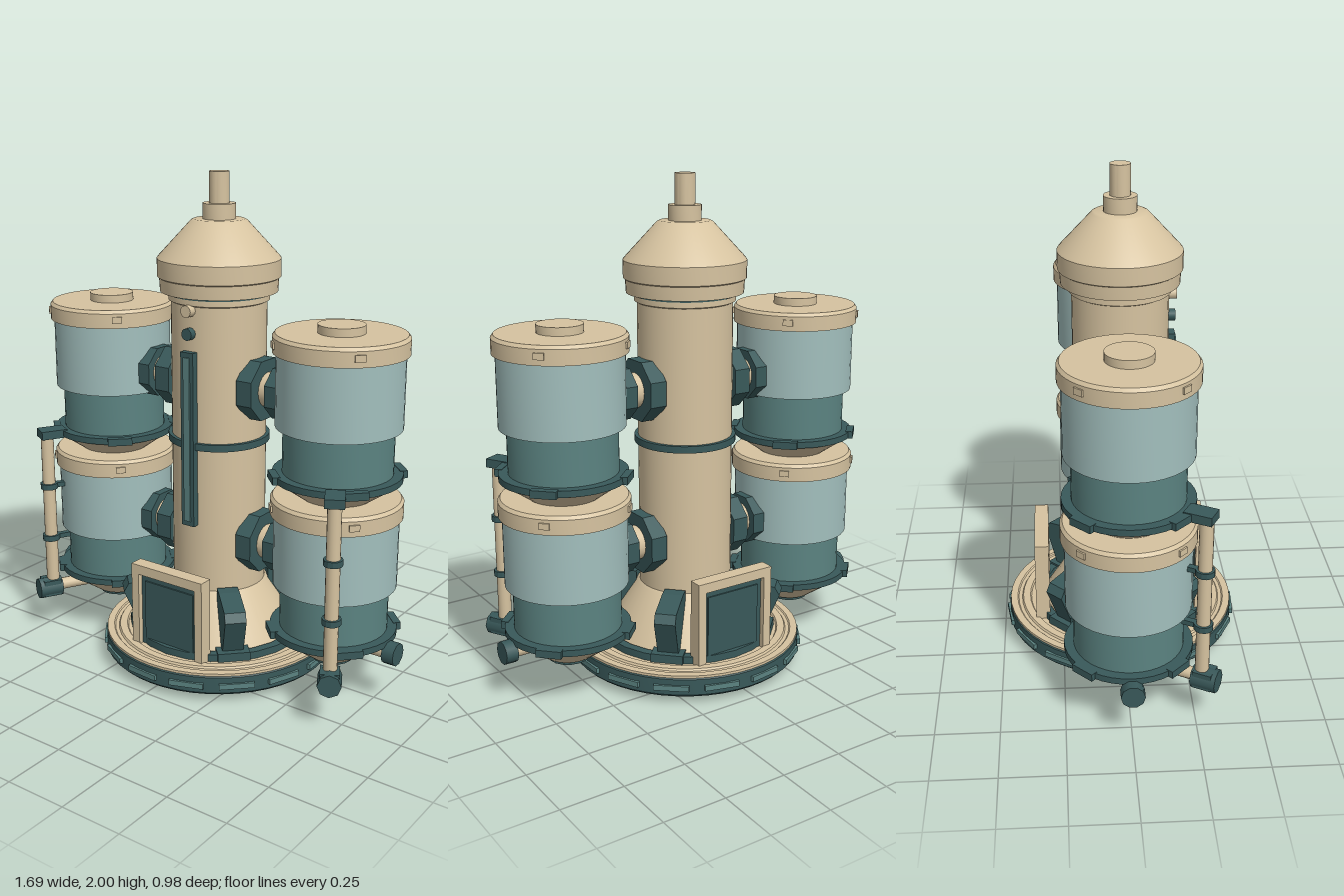
import * as THREE from 'three';
import { toCreasedNormals } from 'three/addons/utils/BufferGeometryUtils.js';

const mat = (name, color) => {
  const m = new THREE.MeshStandardMaterial({ color });
  m.name = name;
  return m;
};

export function createModel() {
  const beige = mat('beige', 0xd6c3a0);
  const dark = mat('darkTeal', 0x39595a);
  const mid = mat('midTeal', 0x5b8381);
  const light = mat('lightTeal', 0xa2bfbd);
  const root = new THREE.Group();
  root.name = 'tankTower';

  const add = (parent, name, geo, material, x = 0, y = 0, z = 0) => {
    const m = new THREE.Mesh(geo, material);
    m.name = name;
    m.position.set(x, y, z);
    parent.add(m);
    return m;
  };
  // Solid of revolution from [radius, height] pairs, bottom to top
  const lathe = (pts, seg = 40) => toCreasedNormals(
    new THREE.LatheGeometry(pts.map(p => new THREE.Vector2(p[0], p[1])), seg), 0.5);
  const drum = (r, y0, y1, seg = 40) => lathe([[0, y0], [r, y0], [r, y1], [0, y1]], seg);
  const box = (w, h, d) => new THREE.BoxGeometry(w, h, d);
  // Places a mesh on a circle, facing outward; angle 0 is the front
  const around = (parent, name, geo, material, a, r, y) => {
    const m = add(parent, name, geo, material, Math.sin(a) * r, y, Math.cos(a) * r);
    m.rotation.y = a;
    return m;
  };

  // Base disc with stepped rings on top
  const base = new THREE.Group();
  base.name = 'base';
  root.add(base);
  add(base, 'baseDisc', lathe([[0, 0.028], [0.465, 0.028], [0.477, 0.04], [0.477, 0.105], [0.47, 0.112], [0, 0.112]], 48), dark);
  add(base, 'baseDeck', lathe([[0.474, 0.11], [0.474, 0.12], [0.445, 0.12], [0.44, 0.115], [0.425, 0.115],
    [0.42, 0.123], [0.39, 0.123], [0.385, 0.115], [0.3, 0.115]], 48), beige);
  add(base, 'darkRing', lathe([[0.365, 0.11], [0.365, 0.145], [0.33, 0.145], [0.33, 0.11]], 24), dark);
  for (let i = 0; i < 15; i++) {
    around(base, 'rimStud', box(0.14, 0.022, 0.02), mid, (i * 24 - 4) * Math.PI / 180, 0.474, 0.07);
  }
  // Feet and buttresses on the diagonals
  const buttress = new THREE.Shape([[0.2, 0.12], [0.33, 0.12], [0.405, 0.3], [0.385, 0.335], [0.25, 0.36], [0.2, 0.36]]
    .map(p => new THREE.Vector2(p[0], p[1])));
  const buttressGeo = new THREE.ExtrudeGeometry(buttress, { depth: 0.085, bevelEnabled: false });
  buttressGeo.translate(0, 0, -0.0425).rotateY(-Math.PI / 2);
  for (let i = 0; i < 4; i++) {
    const a = Math.PI / 4 + i * Math.PI / 2;
    around(base, 'foot', box(0.08, 0.03, 0.06), dark, a, 0.3, 0.015);
    around(base, 'buttress', buttressGeo, dark, a, 0, 0);
    around(base, 'buttressFoot', box(0.13, 0.035, 0.12), dark, a, 0.31, 0.135);
  }

  // Framed panels, front and back
  const frame = new THREE.Shape([[-0.175, 0.115], [-0.14, 0.115], [-0.14, 0.425], [0.14, 0.425], [0.14, 0.115],
    [0.175, 0.115], [0.175, 0.465], [-0.175, 0.465]].map(p => new THREE.Vector2(p[0], p[1])));
  const frameGeo = new THREE.ExtrudeGeometry(frame, { depth: 0.058, bevelEnabled: false });
  for (const a of [0, Math.PI]) {
    around(root, 'panelFrame', frameGeo, beige, a, 0.304, 0);
    around(root, 'panelInset', box(0.28, 0.31, 0.03), dark, a, 0.325, 0.27);
    around(root, 'panelPlate', box(0.24, 0.25, 0.008), dark, a, 0.342, 0.27);
  }

  // Central tower
  const tower = new THREE.Group();
  tower.name = 'tower';
  root.add(tower);
  add(tower, 'column', lathe([[0.32, 0.112], [0.32, 0.14], [0.2, 0.33], [0.19, 0.34], [0.19, 1.505],
    [0.2, 1.51], [0.2, 1.535], [0.19, 1.55]]), beige);
  add(tower, 'columnBand', drum(0.205, 0.938, 0.966), dark);
  add(tower, 'neckBand', drum(0.203, 1.532, 1.538), dark);
  add(tower, 'head', lathe([[0, 1.542], [0.232, 1.542], [0.235, 1.595], [0.243, 1.6], [0.243, 1.67], [0.235, 1.68],
    [0.11, 1.815], [0.1, 1.82], [0, 1.82]], 48), beige);
  add(tower, 'collar', drum(0.065, 1.81, 1.88, 24), beige);
  add(tower, 'rod', drum(0.04, 1.87, 2, 24), beige);
  add(tower, 'gaugeStrip', box(0.06, 0.71, 0.05), dark, 0, 0.975, 0.19);
  add(tower, 'gaugeGlass', box(0.03, 0.67, 0.008), mid, 0, 0.975, 0.216);
  const port = new THREE.CylinderGeometry(0.024, 0.024, 0.04, 12).rotateX(Math.PI / 2);
  add(tower, 'upperPort', port, beige, 0, 1.49, 0.2);
  add(tower, 'lowerPort', port, dark, 0, 1.4, 0.195);

  // Octagonal coupling flange lying along x
  const octagon = (r, w) => {
    const g = new THREE.CylinderGeometry(1, 1, 1, 8).toNonIndexed();
    g.rotateY(Math.PI / 8).rotateZ(Math.PI / 2).scale(w, r, r);
    g.computeVertexNormals();
    return g;
  };
  const R = 0.5; // pipe angle from the front
  for (const s of [1, -1]) {
    const side = new THREE.Group();
    side.name = s > 0 ? 'leftTanks' : 'rightTanks';
    side.position.x = s * 0.556;
    root.add(side);
    for (const y of [0, 0.635]) {
      const tank = new THREE.Group();
      tank.name = y ? 'upperTank' : 'lowerTank';
      tank.position.y = y;
      side.add(tank);
      add(tank, 'nozzle', drum(0.083, 0.125, 0.15, 16), dark);
      add(tank, 'cone', lathe([[0, 0.143], [0.1, 0.143], [0.236, 0.24], [0.236, 0.25]]), beige);
      add(tank, 'flange', drum(0.25, 0.244, 0.27), dark);
      add(tank, 'lowerBody', drum(0.213, 0.26, 0.455), mid);
      add(tank, 'upperBody', drum(0.243, 0.45, 0.745), light);
      add(tank, 'lid', lathe([[0, 0.735], [0.257, 0.735], [0.257, 0.795], [0.247, 0.808], [0, 0.808]], 48), beige);
      for (let i = 0; i < 4; i++) {
        const a = Math.PI / 4 + i * Math.PI / 2;
        around(tank, 'flangeLug', box(0.1, 0.03, 0.03), dark, a, 0.248, 0.257);
        around(tank, 'lidLug', box(0.04, 0.025, 0.012), beige, a, 0.257, 0.77);
      }
      // Coupling between the tank and the tower
      add(tank, 'tankFlange', octagon(0.108, 0.055), dark, -s * 0.247, 0.54, 0);
      add(tank, 'couplingPipe', new THREE.CylinderGeometry(0.07, 0.07, 0.16, 20).rotateZ(Math.PI / 2), beige, -s * 0.3, 0.54, 0);
      add(tank, 'towerFlange', octagon(0.128, 0.07), dark, -s * 0.356, 0.54, 0);
    }
    add(side, 'lidKnob', drum(0.09, 1.44, 1.475, 32), beige);

    // Vertical drain pipe with clamps, top bracket and valve
    const drain = new THREE.Group();
    drain.name = 'drainPipe';
    drain.rotation.y = s * R;
    side.add(drain);
    add(drain, 'pipe', drum(0.027, 0.2, 0.885, 16), beige, 0, 0, 0.308);
    for (const y of [0.425, 0.66]) {
      add(drain, 'clamp', drum(0.037, y - 0.012, y + 0.012, 12), dark, 0, 0, 0.308);
      add(drain, 'clampArm', box(0.025, 0.02, 0.08), dark, 0, y, 0.265);
    }
    add(drain, 'topBracket', box(0.075, 0.035, 0.11), dark, 0, 0.893, 0.285);
    add(drain, 'valve', box(0.075, 0.07, 0.075), dark, 0, 0.195, 0.32);
    add(drain, 'valveBarrel', new THREE.CylinderGeometry(0.046, 0.046, 0.1, 8).rotateX(Math.PI / 2), dark, 0, 0.19, 0.325);
    add(drain, 'valvePipe', new THREE.CylinderGeometry(0.025, 0.025, 0.16, 12).rotateX(Math.PI / 2), beige, 0, 0.195, 0.235);

    // Outer drain cock
    add(side, 'cockPipe', new THREE.CylinderGeometry(0.028, 0.028, 0.12, 12).rotateZ(Math.PI / 2), beige, s * 0.2, 0.215, 0);
    add(side, 'cock', new THREE.CylinderGeometry(0.046, 0.046, 0.05, 10).rotateZ(Math.PI / 2), dark, s * 0.265, 0.215, 0);
  }
  return root;
}
